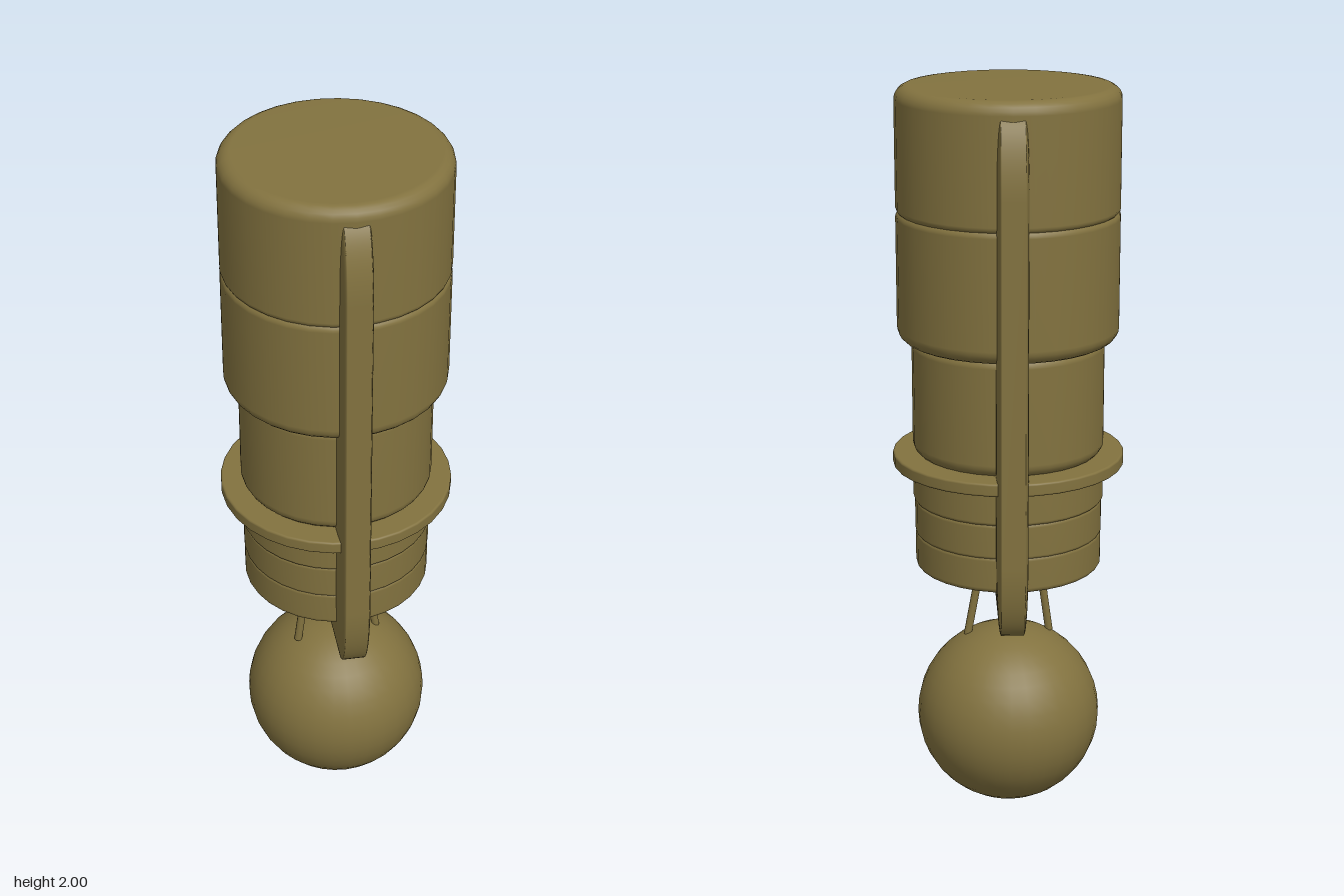
import * as THREE from 'three';
import { RoundedBoxGeometry } from 'three/addons/geometries/RoundedBoxGeometry.js';

const olive = new THREE.MeshStandardMaterial({ color: 0x82723f });
olive.name = 'olive';

export function createModel() {
  const group = new THREE.Group();
  const add = (name, geometry) => {
    const mesh = new THREE.Mesh(geometry, olive);
    mesh.name = name;
    group.add(mesh);
    return mesh;
  };

  // Closed drum with rounded rims
  function drum(radius, y0, y1, bottomRound, topRound) {
    const points = [new THREE.Vector2(0, y0)];
    const steps = 5;
    for (let i = 0; i <= steps; i++) {
      const a = (i / steps) * Math.PI / 2;
      points.push(new THREE.Vector2(radius - bottomRound * (1 - Math.sin(a)), y0 + bottomRound * (1 - Math.cos(a))));
    }
    for (let i = 0; i <= steps; i++) {
      const a = (i / steps) * Math.PI / 2;
      points.push(new THREE.Vector2(radius - topRound * (1 - Math.cos(a)), y1 - topRound * (1 - Math.sin(a))));
    }
    points.push(new THREE.Vector2(0, y1));
    return new THREE.LatheGeometry(points, 32);
  }

  // Stacked body, from top to bottom
  [
    ['topDrum', 0.295, 1.668, 2.0, 0.018, 0.035],
    ['upperDrum', 0.295, 1.328, 1.678, 0.038, 0.02],
    ['middleDrum', 0.257, 1.015, 1.335, 0.035, 0.025],
    ['collarRing', 0.311, 0.985, 1.02, 0.006, 0.006],
    ['upperNeck', 0.257, 0.885, 0.99, 0.01, 0.004],
    ['middleNeck', 0.253, 0.79, 0.89, 0.01, 0.012],
    ['lowerNeck', 0.252, 0.695, 0.797, 0.015, 0.012],
  ].forEach(([name, ...dims]) => add(name, drum(...dims)));

  // Rounded plate running through the body from front to back
  const round = new THREE.Vector3(0.012, 0.22, 0.09);
  const plate = new RoundedBoxGeometry(0.084 / round.x, 1.4 / round.y, 0.68 / round.z, 6, 1);
  plate.scale(round.x, round.y, round.z);
  add('plate', plate).position.y = 1.28;

  // Hanging ball
  add('ball', new THREE.SphereGeometry(0.252, 32, 20)).position.y = 0.254;

  // Thin rods between neck and ball
  function rod(name, from, to) {
    const a = new THREE.Vector3(...from), b = new THREE.Vector3(...to);
    const mesh = add(name, new THREE.CylinderGeometry(0.011, 0.011, a.distanceTo(b), 10));
    mesh.position.copy(a).add(b).multiplyScalar(0.5);
    mesh.quaternion.setFromUnitVectors(new THREE.Vector3(0, 1, 0), a.sub(b).normalize());
  }
  rod('leftRod', [0.066, 0.73, 0.014], [0.112, 0.475, 0.014]);
  rod('rightRod', [-0.08, 0.73, 0.03], [-0.115, 0.475, 0.04]);

  return group;
}
